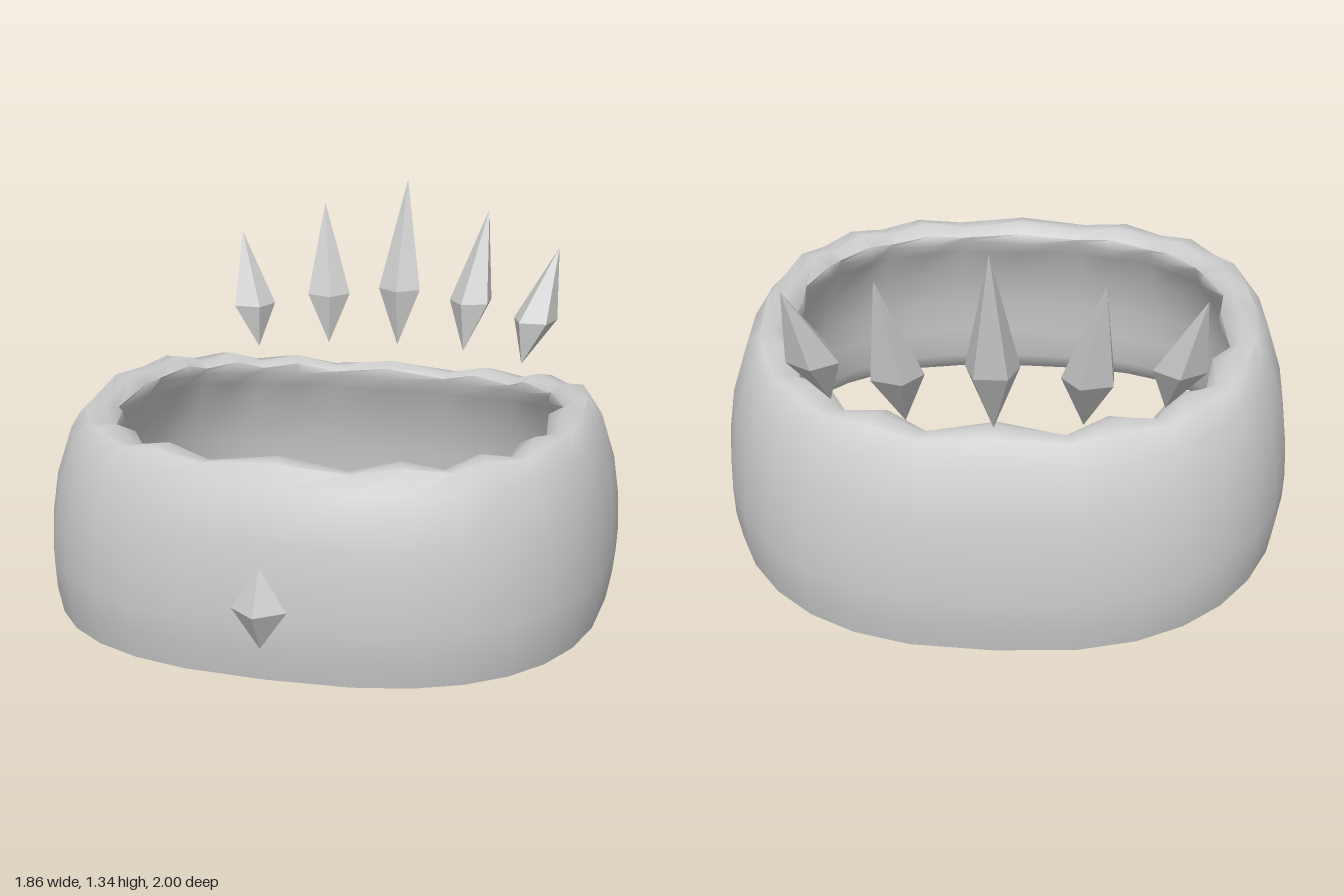
import * as THREE from 'three';
import { toCreasedNormals } from 'three/addons/utils/BufferGeometryUtils.js';

const SEGMENTS = 32;

// Closed band: a profile swept round a rounded-square outline.
// Profile rows: scale of outline, height, scallop depth, dip between scallops.
function bandGeometry() {
  const profile = [
    [0.977, 0.13, 0, 0], [0.995, 0.22, 0, 0], [1.0, 0.31, 0, 0], [0.993, 0.43, 0, 0],
    [0.973, 0.56, 0, 0], [0.922, 0.71, 0, 0], [0.872, 0.78, 0, 0.02], [0.82, 0.785, 0.012, 0.03],
    [0.785, 0.755, 0.035, 0.025], [0.79, 0.715, 0.045, 0], [0.805, 0.67, 0.025, 0],
    [0.85, 0.56, 0, 0], [0.88, 0.43, 0, 0], [0.895, 0.31, 0, 0], [0.9, 0.2, 0, 0], [0.925, 0.145, 0, 0],
  ];
  const power = (v) => Math.sign(v) * Math.pow(Math.abs(v), 2 / 2.6);
  const positions = [];
  const index = [];
  const rows = profile.length;
  for (let i = 0; i < SEGMENTS; i++) {
    const u = (i / SEGMENTS) * Math.PI * 2;
    const bulge = i % 2 === 0;
    for (let j = 0; j < rows; j++) {
      const [scale, height, scallop, dip] = profile[j];
      const s = bulge ? scale - scallop : scale;
      const x = 0.93 * s * power(Math.sin(u));
      const z = 0.905 * s * power(Math.cos(u)) - 0.015;
      // the rear half sinks along a curve
      const sink = z < 0 ? 0.16 * z * z : 0;
      positions.push(x, height - (bulge ? 0 : dip) - sink, z);
      const n = ((i + 1) % SEGMENTS) * rows;
      const k = (j + 1) % rows;
      const a = i * rows + j, b = n + j, c = n + k, d = i * rows + k;
      index.push(a, b, c, a, c, d);
    }
  }
  const geometry = new THREE.BufferGeometry();
  geometry.setAttribute('position', new THREE.Float32BufferAttribute(positions, 3));
  geometry.setIndex(index);
  return toCreasedNormals(geometry, 1.05);
}

// Five-sided double-ended crystal with flat facets.
function crystalGeometry(base, tip, ring) {
  const positions = [];
  for (let i = 0; i < 5; i++) {
    const a = ring[i], b = ring[(i + 1) % 5];
    positions.push(...a, ...b, ...tip, ...b, ...a, ...base);
  }
  const geometry = new THREE.BufferGeometry();
  geometry.setAttribute('position', new THREE.Float32BufferAttribute(positions, 3));
  geometry.computeVertexNormals();
  return geometry;
}

// Ring of five corners about a centre, turned by yaw.
function pentagon([cx, cy, cz], rx, rz, yaw, angles = [0, 72, 144, 216, 288]) {
  return angles.map((deg) => {
    const t = (deg * Math.PI) / 180 + yaw;
    return [cx + rx * Math.sin(t), cy, cz + rz * Math.cos(t)];
  });
}

export function createModel() {
  const model = new THREE.Group();
  model.name = 'crown';
  const metal = new THREE.MeshStandardMaterial({ color: 0xcccccc });
  metal.name = 'light grey';

  const add = (name, geometry) => {
    const mesh = new THREE.Mesh(geometry, metal);
    mesh.name = name;
    model.add(mesh);
  };

  add('band', bandGeometry());

  // Floating spikes along the back, leaning outward
  const spikes = [
    { name: 'centreSpike', base: [0, 0.735, -0.842], tip: [0, 1.34, -1], mid: [0, 0.945, -0.893], yaw: 0 },
    { name: 'middleSpike', base: [0.26, 0.735, -0.81], tip: [0.318, 1.243, -0.975], mid: [0.277, 0.915, -0.872], yaw: -0.3 },
    { name: 'outerSpike', base: [0.5, 0.735, -0.686], tip: [0.605, 1.143, -0.832], mid: [0.537, 0.89, -0.735], yaw: -0.6 },
  ];
  for (const { name, base, tip, mid, yaw } of spikes) {
    for (const side of base[0] === 0 ? [1] : [1, -1]) {
      const flip = ([x, y, z]) => [x * side, y, z];
      const label = base[0] === 0 ? name : (side > 0 ? 'left ' : 'right ') + name;
      add(label, crystalGeometry(flip(base), flip(tip), pentagon(flip(mid), 0.083, 0.083, yaw * side)));
    }
  }

  // Flattened gem hovering before the front
  const gemRing = pentagon([0, 0.38, 0.942], 0.086, 0.056, 0, [0, 100, 144, 216, 260]);
  add('frontGem', crystalGeometry([0, 0.255, 0.925], [0, 0.51, 0.925], gemRing));

  return model;
}
